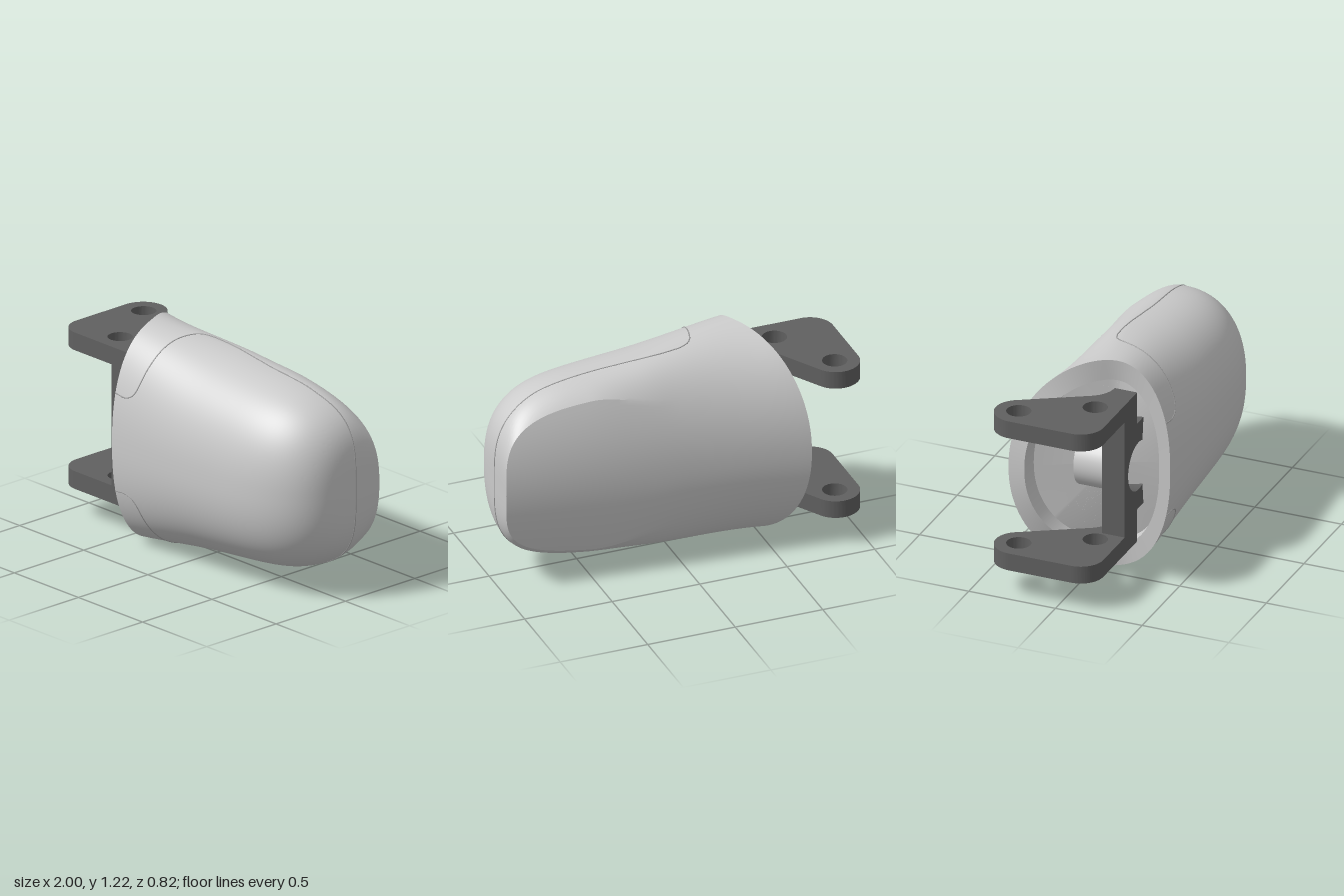
import * as THREE from 'three';
import { toCreasedNormals } from 'three/addons/utils/BufferGeometryUtils.js';

const MID_Y = 0.61;
const { smoothstep, lerp, degToRad, clamp } = THREE.MathUtils;

// Rounded end: 1 along the body, falling to 0 at the tip.
function cap(x, p) {
  const s = clamp((x - 0.4) / 0.6, 0, 1);
  return Math.pow(Math.max(0, 1 - Math.pow(s, p)), 1 / p);
}

// Point of the housing at station x; a is degrees from the top (0) over the front (90).
function housingPoint(x, a, scale = 1) {
  const h = (0.57 - 0.095 * x) * cap(x, 3.5);
  const mid = 0.07 - 0.11 * smoothstep(x, -0.5, 0.2) - 0.035 * smoothstep(x, 0.7, 1);
  const front = -0.075 + (0.482 - 0.06 * x * x) * cap(x, 3);
  const back = -0.33 + 0.085 * x - (x < 0 ? 0.05 * x * x : 0);
  const c = Math.cos(degToRad(a)), s = Math.sin(degToRad(a));
  let y, z;
  if (s >= 0) {
    y = h * Math.pow(Math.abs(c), 0.87);
    z = mid + (front - mid) * Math.pow(s, 0.87);
  } else {
    y = h * Math.pow(Math.abs(c), 0.95);
    z = mid + (back - mid) * -s;
    // towards the tip the back turns into a flat face with a crease
    const q = (Math.asin(clamp(-s, 0, 1)) * 180) / Math.PI;
    const crease = back + 0.085 * cap(x, 3.5) ** 2;
    let fy, fz;
    if (q < 50.01) {
      const f = q / 50;
      fy = h * (1 - 0.14 * f * f);
      fz = lerp(mid, crease, f);
    } else {
      const g = (q - 50) / 40;
      fy = h * 0.86 * (1 - g);
      fz = lerp(crease, back, 1 - (1 - g) ** 2);
    }
    const w = smoothstep(x, 0, 0.5);
    y = lerp(y, fy, w);
    z = lerp(z, fz, w);
  }
  return new THREE.Vector3(x, MID_Y + Math.sign(c) * y * scale, mid + (z - mid) * scale);
}

// Slanted mouth: x of the rim for a given angle, bending upright towards the front.
function rimX(a) {
  const d = 0.11 - housingPoint(-0.5, a).z;
  return -0.385 - 0.293 * (d + Math.sqrt(d * d + 0.01));
}

function housingGeometry() {
  const N = 144, rows = [[0.02, 0.01]]; // floor of the mouth
  for (let i = 2; i >= 0; i--) rows.push([i * 0.01, 0.81]); // inner wall
  for (let i = 0; i <= 80; i++) rows.push([i / 80, 1]); // outer wall
  const pos = [], index = [];
  rows.forEach(([v, scale], r) => {
    for (let k = 0; k < N; k++) {
      const a = (k * 360) / N;
      const x0 = r ? rimX(a) : -0.5; // the floor closes in one point
      const x = x0 + (1 - x0) * (1 - Math.pow(1 - v, 3));
      pos.push(...housingPoint(x, a, scale).toArray());
      if (r === rows.length - 1) continue;
      const k2 = (k + 1) % N, p = r * N + k, q = r * N + k2;
      index.push(p, q, p + N, q, q + N, p + N);
    }
  });
  const g = new THREE.BufferGeometry();
  g.setAttribute('position', new THREE.Float32BufferAttribute(pos, 3));
  g.setIndex(index);
  return toCreasedNormals(g, 0.33);
}

// Parting line between the front cover and the back shell.
function seamGeometry() {
  const path = new THREE.SplineCurve([
    [-0.39, 66], [-0.3, 66], [-0.24, 60], [-0.21, 42], [-0.18, 12], [-0.14, -3], [-0.08, -7],
    [0, -6], [0.3, 0], [0.7, 0], [0.9, 0], [0.98, 0], [1, 0],
  ].map(([x, a]) => new THREE.Vector2(Math.cbrt(1 - x), a)));
  const upper = path.getPoints(120).map((p) => housingPoint(1 - p.x ** 3, p.y));
  const lower = upper.slice(0, -1).reverse()
    .map((p) => new THREE.Vector3(p.x, 2 * MID_Y - p.y, p.z));
  return new THREE.TubeGeometry(new THREE.CatmullRomCurve3([...upper, ...lower]), 500, 0.0035, 6);
}

function circleHole(x, y, r) {
  return new THREE.Path().absarc(x, y, r, 0, Math.PI * 2, true);
}

// Hinge lug outline, drawn in x and -z.
function lugGeometry() {
  const s = new THREE.Shape();
  s.moveTo(-0.42, -0.22);
  s.lineTo(-0.87, -0.22);
  s.absarc(-0.87, -0.09, 0.13, -Math.PI / 2, -Math.PI, true);
  s.lineTo(-1, 0.27);
  s.absarc(-0.87, 0.27, 0.13, Math.PI, Math.PI / 6, true);
  s.lineTo(-0.56, 0);
  s.quadraticCurveTo(-0.51, -0.09, -0.42, -0.09);
  s.closePath();
  s.holes.push(circleHole(-0.865, 0.27, 0.067), circleHole(-0.665, -0.085, 0.067));
  const g = new THREE.ExtrudeGeometry(s, { depth: 0.1, bevelEnabled: false, curveSegments: 24 });
  return toCreasedNormals(g.rotateX(-Math.PI / 2), 0.5);
}

// Upright plate between the lugs, with a tongue reaching into the housing.
function plateGeometry() {
  const s = new THREE.Shape([
    [-0.585, 0.18], [-0.42, 0.18], [-0.42, 0.36], [-0.25, 0.36],
    [-0.25, 0.87], [-0.42, 0.87], [-0.42, 1.05], [-0.585, 1.05],
  ].map(([x, y]) => new THREE.Vector2(x, y)));
  s.holes.push(circleHole(-0.4, MID_Y, 0.14));
  const g = new THREE.ExtrudeGeometry(s, { depth: 0.13, bevelEnabled: false, curveSegments: 24 });
  return toCreasedNormals(g.translate(0, 0, 0.09), 0.5);
}

export function createModel() {
  const model = new THREE.Group();
  const grey = new THREE.MeshStandardMaterial({ color: 0xcccccc, side: THREE.DoubleSide });
  const dark = new THREE.MeshStandardMaterial({ color: 0x606060, side: THREE.DoubleSide });
  const line = new THREE.MeshStandardMaterial({ color: 0xa0a0a0 });
  const add = (name, geometry, material, parent = model) => {
    const mesh = new THREE.Mesh(geometry, material);
    mesh.name = name;
    parent.add(mesh);
    return mesh;
  };

  add('housing', housingGeometry(), grey);
  add('partingLine', seamGeometry(), line);

  const bracket = new THREE.Group();
  bracket.name = 'hingeBracket';
  model.add(bracket);
  add('lowerLug', lugGeometry(), dark, bracket).position.y = 0.17;
  add('upperLug', lugGeometry(), dark, bracket).position.y = 0.955;
  add('plate', plateGeometry(), dark, bracket);

  // Boss behind the plate, recess floor and fixing screw, all round the same axis
  const disc = (name, r, z0, z1, material) => {
    const mesh = add(name, new THREE.CylinderGeometry(r, r, z1 - z0, 40), material, bracket);
    mesh.rotation.x = Math.PI / 2;
    mesh.position.set(-0.4, MID_Y, (z0 + z1) / 2);
  };
  disc('boss', 0.155, -0.09, 0.09, grey);
  disc('recessFloor', 0.14, 0.085, 0.11, dark);
  disc('screw', 0.065, 0.1, 0.14, grey);
  return model;
}
